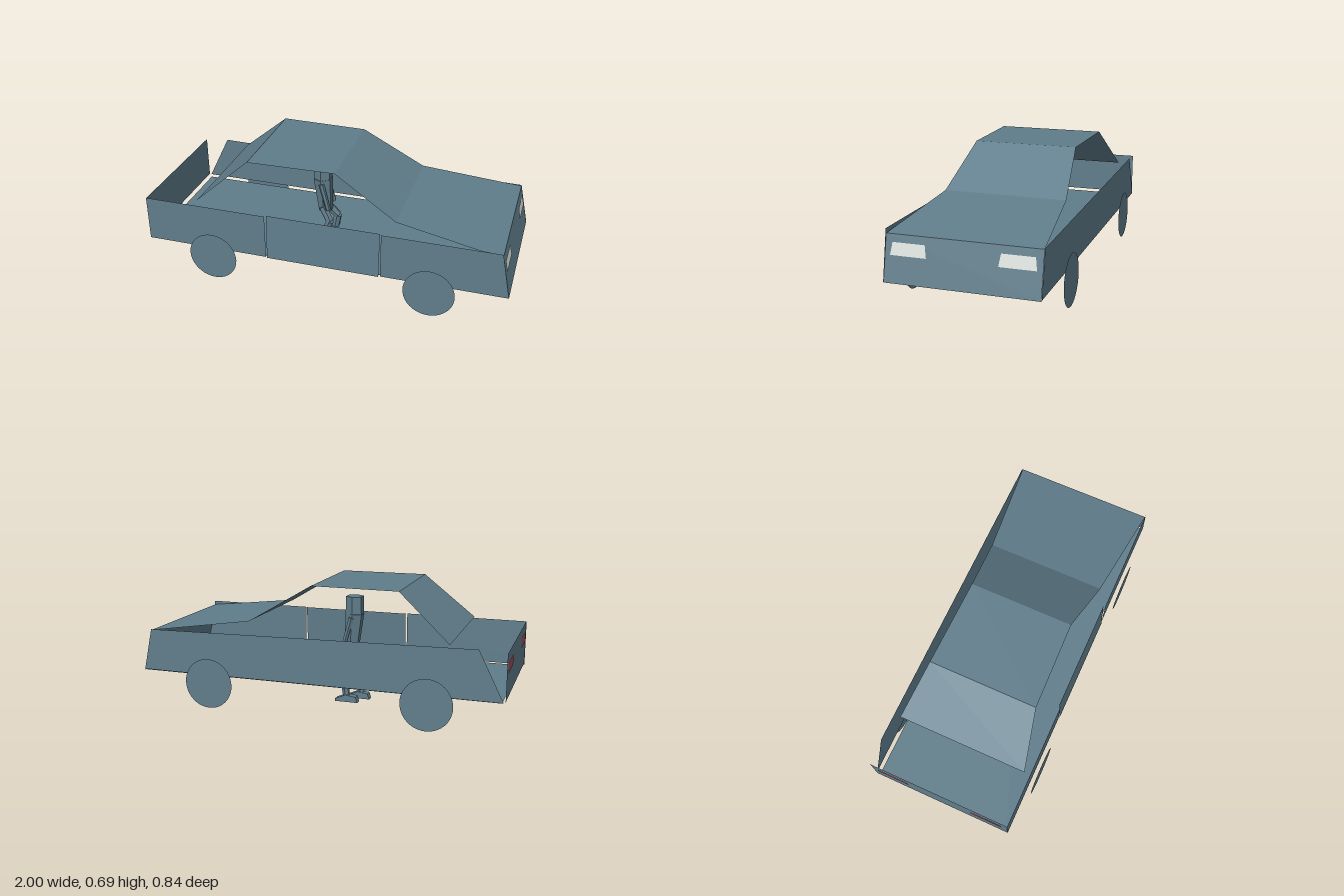
import * as THREE from 'three';

const paint = (name, color) => {
  const m = new THREE.MeshStandardMaterial({ color, side: THREE.DoubleSide, flatShading: true });
  m.name = name;
  return m;
};

export function createModel() {
  const body = paint('blue grey', 0x607d8b);
  const lamp = paint('pale lamp', 0xdde3df);
  const red = paint('tail red', 0xa64a54);
  const car = new THREE.Group();
  car.name = 'car';

  const add = (name, geometry, material = body, parent = car) => {
    const mesh = new THREE.Mesh(geometry, material);
    mesh.name = name;
    parent.add(mesh);
    return mesh;
  };

  // thin sheet: a convex polygon of [x, y, z] corners
  const sheet = (name, corners, material) => {
    const p = [];
    for (let i = 1; i < corners.length - 1; i++) p.push(...corners[0], ...corners[i], ...corners[i + 1]);
    const g = new THREE.BufferGeometry();
    g.setAttribute('position', new THREE.Float32BufferAttribute(p, 3));
    g.computeVertexNormals();
    return add(name, g, material);
  };

  // strip across the car between two stations [x, y, half width]
  const span = (name, [x1, y1, w1], [x2, y2, w2]) =>
    sheet(name, [[x1, y1, w1], [x2, y2, w2], [x2, y2, -w2], [x1, y1, -w1]]);

  // upper skin, from the nose back to the rear window
  const nose = [0.95, 0.41, 0.39], cowl = [0.39, 0.485, 0.33];
  const roofFront = [0.05, 0.688, 0.285], roofBack = [-0.43, 0.688, 0.297];
  span('hood', cowl, nose);
  span('windshield', roofFront, cowl);
  span('roof', roofBack, roofFront);
  span('rearWindow', [-0.71, 0.447, 0.36], roofBack);

  // ends and floor
  span('frontPanel', nose, [1, 0.18, 0.39]);
  span('rearPanel', [-0.998, 0.19, 0.392], [-0.998, 0.433, 0.392]);
  span('floor', [-0.98, 0.178, 0.378], [0.995, 0.178, 0.378]);

  // side with a separate door
  sheet('rearQuarter', [[-1, 0.18, 0.392], [-0.307, 0.18, 0.392], [-0.307, 0.433, 0.392], [-1, 0.433, 0.392]]);
  sheet('door', [[-0.3, 0.178, 0.396], [0.322, 0.178, 0.396], [0.322, 0.433, 0.382], [-0.3, 0.433, 0.382]]);
  sheet('frontFender', [[0.33, 0.18, 0.392], [1, 0.18, 0.392], [0.95, 0.433, 0.392], [0.33, 0.433, 0.392]]);

  // opposite side in one piece, with a raked rear edge
  sheet('farSide', [[1, 0.185, -0.392], [-0.99, 0.185, -0.397], [-0.86, 0.445, -0.397], [0.95, 0.415, -0.392]]);

  for (const s of [1, -1]) {
    // lamps on the raked nose and the upright tail
    const noseX = y => 1.004 - (y - 0.18) * 0.05 / 0.23;
    const light = (name, x, y1, y2, material) => sheet(name, [
      [x(y1), y1, s * 0.362], [x(y1), y1, s * 0.178], [x(y2), y2, s * 0.188], [x(y2), y2, s * 0.353]], material);
    light('headlight', noseX, 0.312, 0.373, lamp);
    light('tailLight', () => -1.001, 0.325, 0.385, red);

    // flat wheels
    for (const x of [0.595, -0.61]) {
      const wheel = add('wheel', new THREE.CircleGeometry(0.137, 40));
      wheel.position.set(x, 0.143, s * 0.418);
      if (s < 0) wheel.rotation.y = Math.PI;
    }
  }

  // seated driver, facing the nose
  const driver = new THREE.Group();
  driver.name = 'driver';
  car.add(driver);
  const limb = (name, a, b, ra, rb) => {
    const from = new THREE.Vector3(...a), to = new THREE.Vector3(...b);
    const dir = to.clone().sub(from);
    const m = add(name, new THREE.CylinderGeometry(rb, ra, dir.length(), 6), body, driver);
    m.position.copy(from).addScaledVector(dir, 0.5);
    m.quaternion.setFromUnitVectors(new THREE.Vector3(0, 1, 0), dir.normalize());
  };
  limb('torso', [-0.09, 0.3, 0], [-0.105, 0.5, 0], 0.04, 0.054);
  limb('head', [-0.105, 0.5, 0], [-0.105, 0.595, 0], 0.052, 0.05);
  for (const s of [1, -1]) {
    const z = s * 0.042, step = s > 0 ? 0 : 0.045;
    limb('arm', [-0.1, 0.48, s * 0.05], [-0.06, 0.33, s * 0.055], 0.016, 0.014);
    limb('thigh', [-0.1, 0.33, s * 0.03], [-0.055 + step * 0.5, 0.25, z], 0.024, 0.023);
    limb('shin', [-0.055 + step * 0.5, 0.25, z], [-0.135 + step * 1.4, 0.035, z], 0.023, 0.02);
    // wedge foot, toe forward
    const shape = new THREE.Shape([[-0.185, 0], [-0.055, 0], [-0.055, 0.014], [-0.115, 0.04], [-0.175, 0.032]]
      .map(([x, y]) => new THREE.Vector2(x, y)));
    const foot = add('foot', new THREE.ExtrudeGeometry(shape, { depth: 0.042, bevelEnabled: false }), body, driver);
    foot.position.set(step, 0, z - 0.021);
  }
  return car;
}
